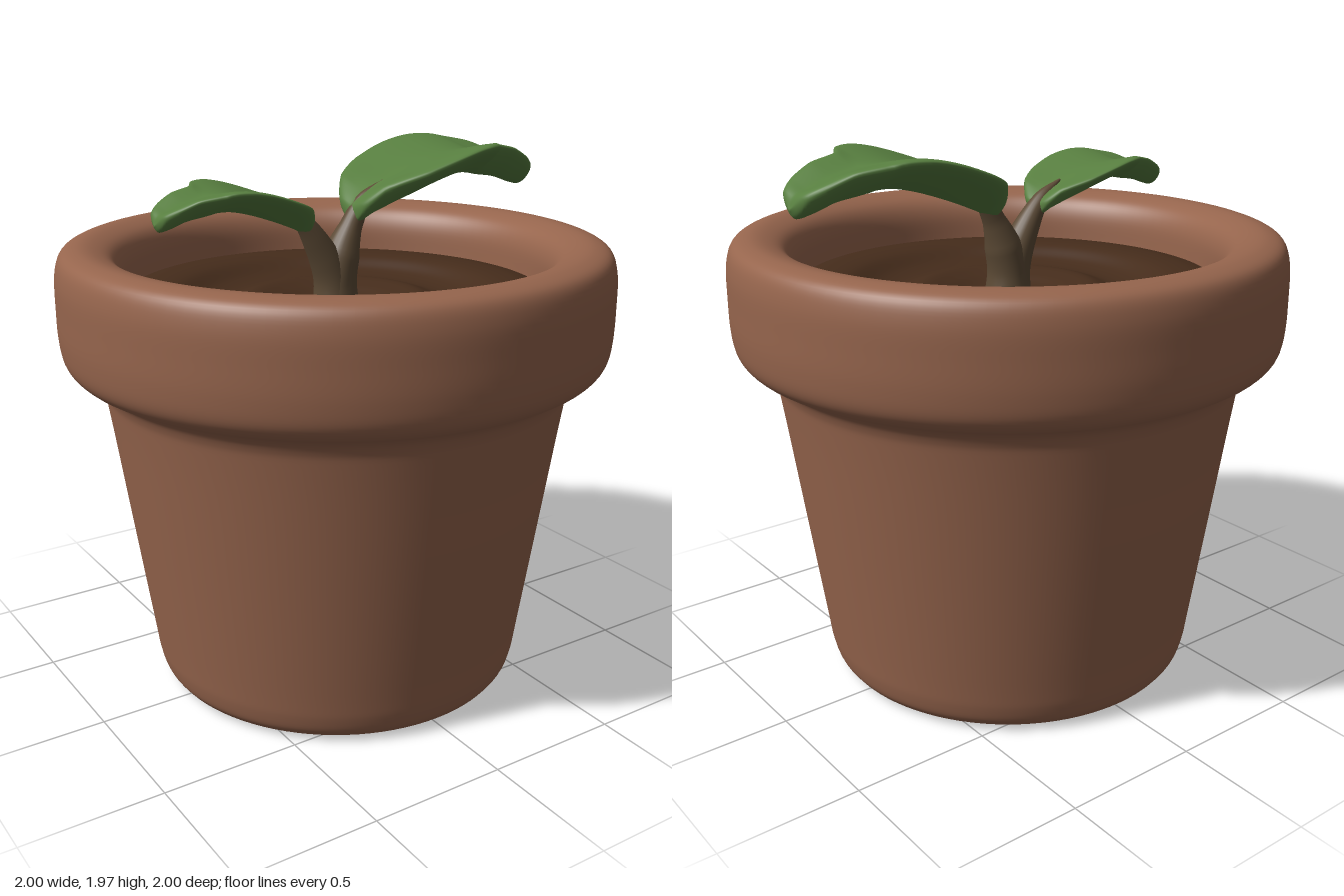
import * as THREE from 'three';
import { mergeVertices } from 'three/addons/utils/BufferGeometryUtils.js';

function part(name, geometry, color) {
  const mesh = new THREE.Mesh(geometry, new THREE.MeshStandardMaterial({ color }));
  mesh.name = name;
  return mesh;
}

// Smooth turned shape from a few profile points
function turned(points, steps) {
  const curve = new THREE.SplineCurve(points.map(p => new THREE.Vector2(...p)));
  const profile = curve.getPoints(steps);
  profile.forEach(p => { p.x = Math.max(p.x, 0); });
  return new THREE.LatheGeometry(profile, 96);
}

// Tube whose radius follows a list along its path
function taperedTube(path, radii) {
  const curve = new THREE.CatmullRomCurve3(path.map(([x, y]) => new THREE.Vector3(x, y, 0)));
  const rings = 32, sides = 20;
  const geo = new THREE.TubeGeometry(curve, rings, 1, sides);
  const pos = geo.attributes.position, v = new THREE.Vector3();
  for (let i = 0; i <= rings; i++) {
    const centre = curve.getPointAt(i / rings);
    const f = (i / rings) * (radii.length - 1), k = Math.min(Math.floor(f), radii.length - 2);
    const r = THREE.MathUtils.lerp(radii[k], radii[k + 1], f - k);
    for (let j = 0; j <= sides; j++) {
      const n = i * (sides + 1) + j;
      v.fromBufferAttribute(pos, n).sub(centre).multiplyScalar(r).add(centre);
      pos.setXYZ(n, v.x, v.y, v.z);
    }
  }
  geo.computeVertexNormals();
  geo.deleteAttribute('uv');
  geo.deleteAttribute('normal');
  const welded = mergeVertices(geo, 1e-4);
  welded.computeVertexNormals();
  return welded;
}

// Thick leaf with a low midrib and raised edges.
// Stations: x, height, half thickness, back half width, front half width
function leafGeometry() {
  const stations = [
    [0.06, 1.735, 0, 0, 0],
    [0.07, 1.735, 0.035, 0.08, 0.08],
    [0.14, 1.775, 0.045, 0.18, 0.16],
    [0.25, 1.82, 0.045, 0.25, 0.225],
    [0.40, 1.87, 0.045, 0.28, 0.25],
    [0.50, 1.89, 0.045, 0.27, 0.24],
    [0.58, 1.89, 0.045, 0.25, 0.205],
    [0.63, 1.88, 0.045, 0.23, 0.13],
    [0.72, 1.862, 0.042, 0.185, 0.12],
    [0.80, 1.835, 0.042, 0.135, 0.105],
    [0.85, 1.82, 0.035, 0.08, 0.07],
    [0.87, 1.815, 0, 0, 0],
  ];
  const spine = new THREE.CatmullRomCurve3(stations.map(s => new THREE.Vector3(s[0], s[1], s[2])));
  const widths = new THREE.CatmullRomCurve3(stations.map(s => new THREE.Vector3(s[3], s[4], 0)));
  const rings = 77, sides = 40, positions = [], index = [];
  for (let i = 0; i <= rings; i++) {
    const p = spine.getPoint(i / rings), w = widths.getPoint(i / rings);
    for (let j = 0; j < sides; j++) {
      const a = (j / sides) * Math.PI * 2, t = Math.cos(a);
      const z = t * Math.max(0, t < 0 ? w.x : w.y);
      const rise = 0.07 * Math.pow(Math.abs(t), 1.4) * Math.min(1, Math.abs(w.x + w.y) / 0.3);
      positions.push(p.x, p.y + rise + Math.max(0, p.z) * Math.sin(a), z);
      if (i < rings) {
        const k = (j + 1) % sides, m = i * sides, n = m + sides;
        index.push(m + j, n + j, m + k, n + j, n + k, m + k);
      }
    }
  }
  const geo = new THREE.BufferGeometry();
  geo.setAttribute('position', new THREE.Float32BufferAttribute(positions, 3));
  geo.setIndex(index);
  const welded = mergeVertices(geo, 1e-5);
  welded.computeVertexNormals();
  return welded;
}

export function createModel() {
  const model = new THREE.Group();
  model.name = 'pottedSeedling';

  // Pot with a heavy rounded rim, continuing inside below the soil
  const pot = part('pot', turned([
    [0, 0], [0.35, 0.005], [0.62, 0.014], [0.67, 0.03], [0.695, 0.09], [0.715, 0.22],
    [0.78, 0.67], [0.835, 1.05], [0.855, 1.15], [0.89, 1.195], [0.95, 1.225], [0.985, 1.27],
    [0.998, 1.35], [1, 1.45], [0.997, 1.56], [0.975, 1.63], [0.92, 1.655], [0.86, 1.65],
    [0.80, 1.62], [0.768, 1.56], [0.76, 1.46], [0.755, 1.35],
  ], 126), 0x96654d);

  // Soil with soft ripples around the stem
  const soil = part('soil', turned([
    [0.765, 1.465], [0.68, 1.48], [0.58, 1.475], [0.49, 1.435], [0.40, 1.425],
    [0.31, 1.45], [0.23, 1.435], [0.15, 1.41], [0.07, 1.415], [0, 1.415],
  ], 72), 0x452c1b);
  model.add(pot, soil);

  // Forked stem
  const bark = 0x5c4a35;
  model.add(
    part('leftStem', taperedTube(
      [[0, 1.38], [0.005, 1.52], [0.045, 1.65], [0.12, 1.78], [0.205, 1.845]],
      [0.09, 0.075, 0.068, 0.042, 0.03, 0.004]), bark),
    part('rightStem', taperedTube(
      [[0, 1.38], [-0.02, 1.52], [-0.085, 1.65], [-0.16, 1.75], [-0.24, 1.805]],
      [0.088, 0.072, 0.06, 0.045, 0.028, 0.004]), bark));

  // Large leaf, and a smaller copy turned to the other side
  const leaf = leafGeometry();
  const large = part('largeLeaf', leaf, 0x587f40);
  const small = part('smallLeaf', leaf, 0x587f40);
  small.rotation.y = Math.PI;
  small.scale.setScalar(0.73);
  small.position.set(-0.076, 0.442, 0);
  model.add(large, small);

  return model;
}
